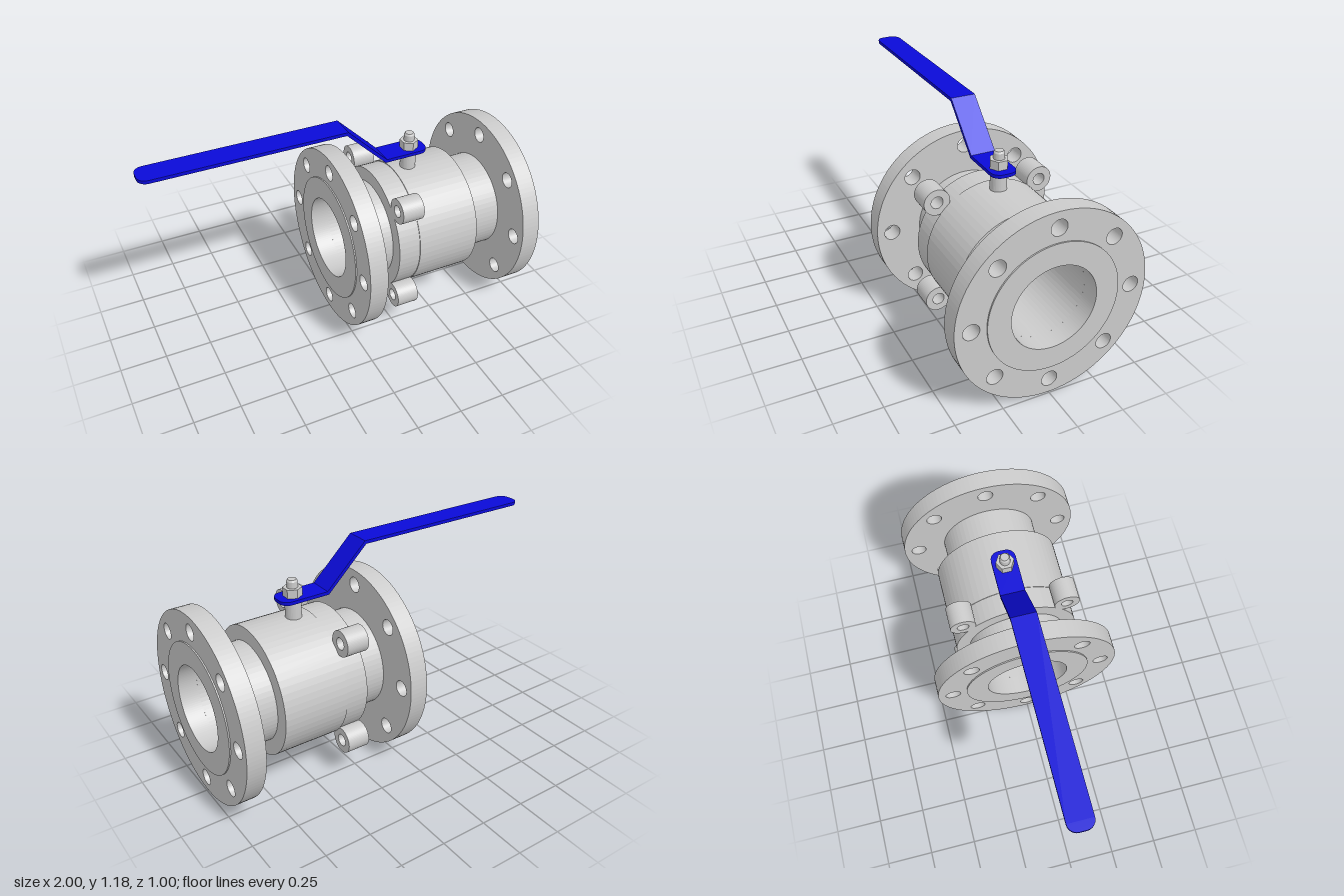
import * as THREE from 'three';

const AXIS_Y = 0.5;
const BORE = 0.223;

export function createModel() {
  const model = new THREE.Group();
  model.name = 'flangedBallValve';
  const steel = new THREE.MeshStandardMaterial({ color: 0xcbcbcb });
  steel.name = 'grey steel';
  const blue = new THREE.MeshStandardMaterial({ color: 0x0a0ad8 });
  blue.name = 'blue handle paint';

  // Adds a mesh with faceted normals
  function add(name, geometry, material, x = 0, y = 0, z = 0) {
    const geo = geometry.index ? geometry.toNonIndexed() : geometry;
    geo.computeVertexNormals();
    const mesh = new THREE.Mesh(geo, material);
    mesh.name = name;
    mesh.position.set(x, y, z);
    model.add(mesh);
    return mesh;
  }

  // Disc along x with a centre hole and optional ring of bolt holes
  function disc(radius, hole, depth, boltHoles = 0, segments = 32) {
    const shape = new THREE.Shape().absarc(0, 0, radius, 0, Math.PI * 2);
    shape.holes.push(new THREE.Path().absarc(0, 0, hole, 0, Math.PI * 2, true));
    for (let i = 0; i < boltHoles; i++) {
      const a = (i / boltHoles) * Math.PI * 2;
      const path = new THREE.Path();
      path.absarc(0.418 * Math.cos(a), 0.418 * Math.sin(a), 0.042, 0, Math.PI * 2, true);
      shape.holes.push(path);
    }
    return new THREE.ExtrudeGeometry(shape, { depth, bevelEnabled: false, curveSegments: segments })
      .rotateY(Math.PI / 2);
  }

  // Body: necks, collar and ball housing around an open bore
  const profile = [
    [BORE, 0.07], [0.265, 0.07], [0.265, 0.23], [0.34, 0.23], [0.34, 0.352], [0.344, 0.352],
    [0.344, 0.703], [0.265, 0.703], [0.265, 0.9], [BORE, 0.9], [BORE, 0.07],
  ].map(([r, x]) => new THREE.Vector2(r, x));
  add('body', new THREE.LatheGeometry(profile, 64).rotateZ(-Math.PI / 2), steel, 0, AXIS_Y);

  // End flanges with raised sealing faces
  add('leftFlange', disc(0.5, BORE, 0.1, 8, 64), steel, 0.893, AXIS_Y);
  add('rightFlange', disc(0.5, BORE, 0.1, 8, 64), steel, -0.024, AXIS_Y);
  add('leftRaisedFace', disc(0.342, BORE, 0.007, 0, 64), steel, 0.993, AXIS_Y);
  add('rightRaisedFace', disc(0.342, BORE, 0.007, 0, 64), steel, -0.031, AXIS_Y);

  // Four bolt lugs around the collar
  for (const sy of [-1, 1]) {
    for (const sz of [-1, 1]) {
      add('boltLug', disc(0.069, 0.032, 0.122), steel, 0.23, AXIS_Y + sy * 0.284, sz * 0.284);
    }
  }

  // Stem, hexagonal nut and chamfered stud
  add('stem', new THREE.CylinderGeometry(0.042, 0.042, 0.13, 32), steel, 0.443, 0.88);
  add('stemNut', new THREE.CylinderGeometry(0.049, 0.049, 0.048, 6), steel, 0.443, 0.981);
  add('stud', new THREE.CylinderGeometry(0.028, 0.028, 0.035, 24), steel, 0.443, 1.02);
  add('studTip', new THREE.CylinderGeometry(0.022, 0.028, 0.01, 24), steel, 0.443, 1.0425);

  add('handle', handleGeometry(), blue);
  return model;
}

// Bent flat bar with rounded ends, lofted from rectangular sections
function handleGeometry() {
  const half = 0.066, corner = 0.048, t = 0.009;
  const bends = [[0.05, 1.169], [0.276, 0.95]];
  const tilt = Math.atan2(bends[0][1] - bends[1][1], bends[1][0] - bends[0][0]) / 2;
  const stations = [];
  const steps = 6;
  for (let i = 0; i <= steps; i++) {
    const a = (i / steps) * Math.PI / 2;
    stations.push([-1 + corner * (1 - Math.cos(a)), 1.169, half - corner * (1 - Math.sin(a)), 0]);
  }
  for (const [x, y] of bends) stations.push([x, y, half, tilt]);
  for (let i = steps; i >= 0; i--) {
    const a = (i / steps) * Math.PI / 2;
    stations.push([0.53 - corner * (1 - Math.cos(a)), 0.95, half - corner * (1 - Math.sin(a)), 0]);
  }

  const positions = [], index = [];
  for (const [x, y, w, a] of stations) {
    const dx = t * Math.tan(a);
    positions.push(x + dx, y + t, w, x + dx, y + t, -w, x - dx, y - t, -w, x - dx, y - t, w);
  }
  const last = (stations.length - 1) * 4;
  for (let s = 0; s < last; s += 4) {
    for (let k = 0; k < 4; k++) {
      const a = s + k, b = s + (k + 1) % 4;
      index.push(a, a + 4, b, b, a + 4, b + 4);
    }
  }
  index.push(0, 1, 2, 0, 2, 3, last, last + 2, last + 1, last, last + 3, last + 2);
  const geo = new THREE.BufferGeometry();
  geo.setAttribute('position', new THREE.Float32BufferAttribute(positions, 3));
  geo.setIndex(index);
  return geo;
}
